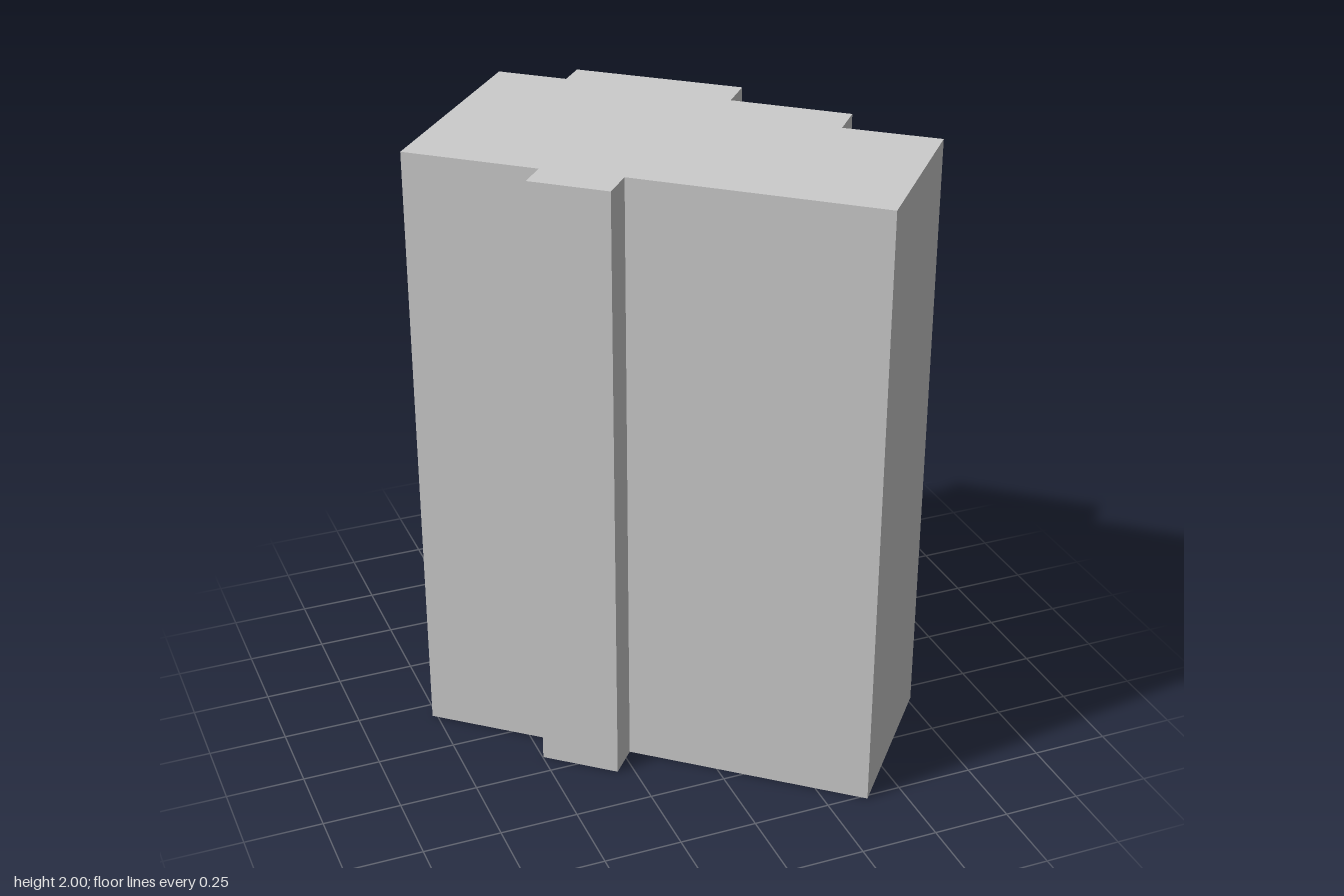
import * as THREE from 'three';

// Floor plan corners as [x, z]
const PLAN = [
  [-0.27, -0.765], [-0.095, -0.616], [-0.031, -0.69], [0.393, -0.333],
  [0.312, -0.236], [0.608, 0.017], [0.526, 0.115], [0.765, 0.314],
  [0.381, 0.765], [-0.227, 0.25], [-0.302, 0.338], [-0.498, 0.173],
  [-0.433, 0.095], [-0.765, -0.185],
];
const HEIGHT = 2;

export function createModel() {
  const group = new THREE.Group();
  group.name = 'building';

  // Tower block: the plan extruded straight up, with flat roof and base
  const shape = new THREE.Shape(PLAN.map(([x, z]) => new THREE.Vector2(x, -z)));
  const geometry = new THREE.ExtrudeGeometry(shape, { depth: HEIGHT, bevelEnabled: false });
  geometry.rotateX(-Math.PI / 2);

  const tower = new THREE.Mesh(
    geometry,
    new THREE.MeshStandardMaterial({ color: 0xcccccc, flatShading: true }),
  );
  tower.name = 'towerBlock';
  group.add(tower);
  return group;
}
